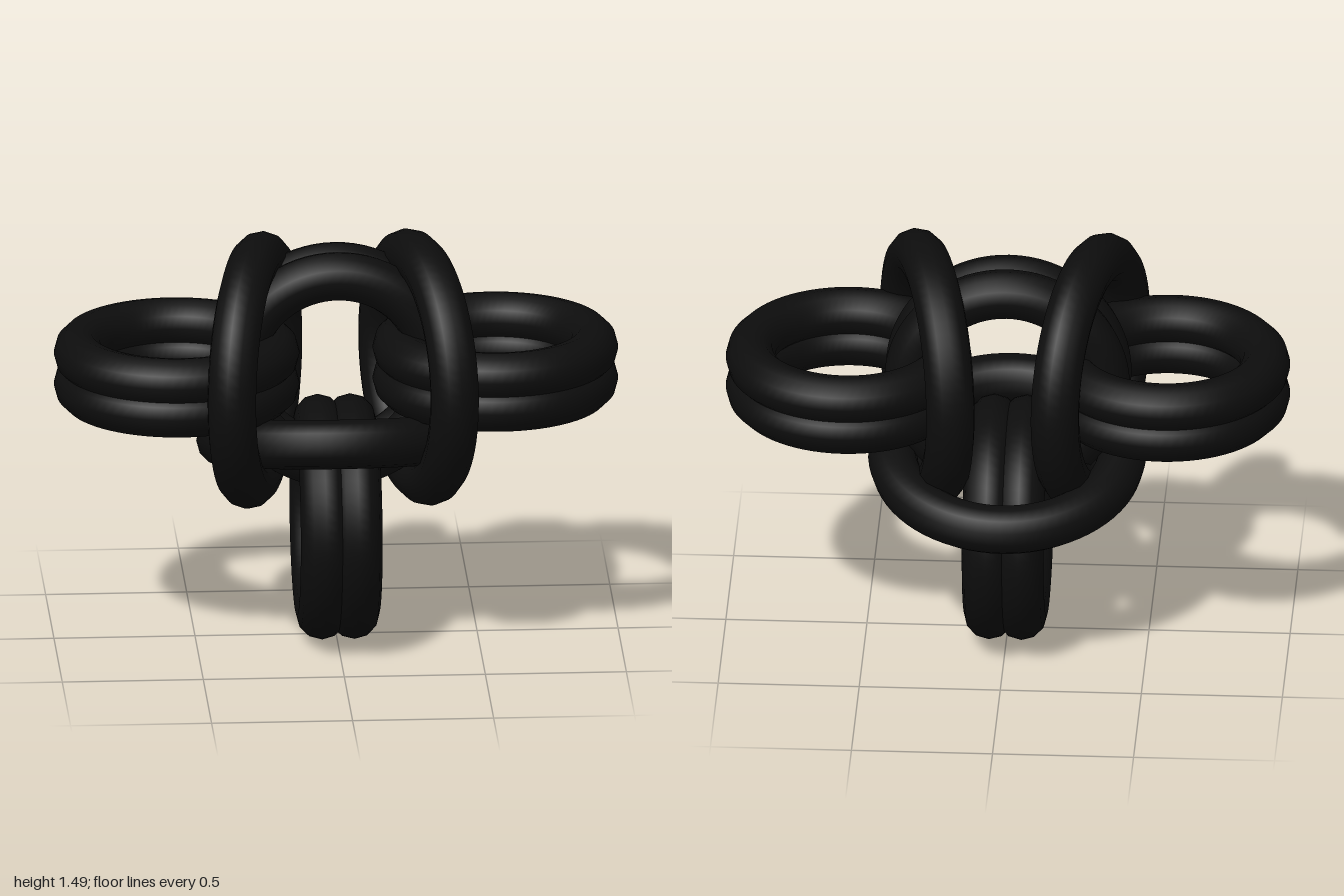
import * as THREE from 'three';

const TUBE = 0.0875; // thickness shared by every ring
const SMALL = 0.3475; // centreline radius of the paired rings
const LARGE = 0.405; // centreline radius of the single binding rings
const GAP = 0.0575; // half the spacing inside a pair
const TILT = Math.PI / 12;
const QUARTER = Math.PI / 2;

export function createModel() {
  const model = new THREE.Group();
  model.name = 'linkedRings';
  const material = new THREE.MeshStandardMaterial({ color: 0x0d0d0d });
  const smallRing = new THREE.TorusGeometry(SMALL, TUBE, 12, 72);
  const largeRing = new THREE.TorusGeometry(LARGE, TUBE, 12, 72);

  const addRing = (parent, name, geometry, position, rotation = [0, 0, 0]) => {
    const ring = new THREE.Mesh(geometry, material);
    ring.name = name;
    ring.position.set(...position);
    ring.rotation.set(...rotation);
    parent.add(ring);
  };

  // Two small rings side by side along their common axis
  const addPair = (name, position, rotation) => {
    const pair = new THREE.Group();
    pair.name = name;
    for (const s of [-1, 1]) addRing(pair, 'pairedRing', smallRing, [0, 0, s * GAP]);
    pair.position.set(...position);
    pair.rotation.set(...rotation);
    model.add(pair);
  };

  // Upright centre, hanging and flat side pairs
  addPair('centrePair', [0, 1, 0], [0, 0, 0]);
  addPair('hangingPair', [0, 0.435, 0], [0, QUARTER, 0]);
  addPair('leftPair', [0.565, 1, 0], [QUARTER, 0, 0]);
  addPair('rightPair', [-0.565, 1, 0], [QUARTER, 0, 0]);

  // Large tilted rings binding the pairs together
  addRing(model, 'leftBindingRing', largeRing, [0.29, 1, 0.045], [0, -QUARTER + TILT, 0]);
  addRing(model, 'rightBindingRing', largeRing, [-0.29, 1, 0.045], [0, -QUARTER - TILT, 0]);
  addRing(model, 'lowerBindingRing', largeRing, [0, 0.71, -0.047], [QUARTER - TILT, 0, 0]);

  return model;
}
